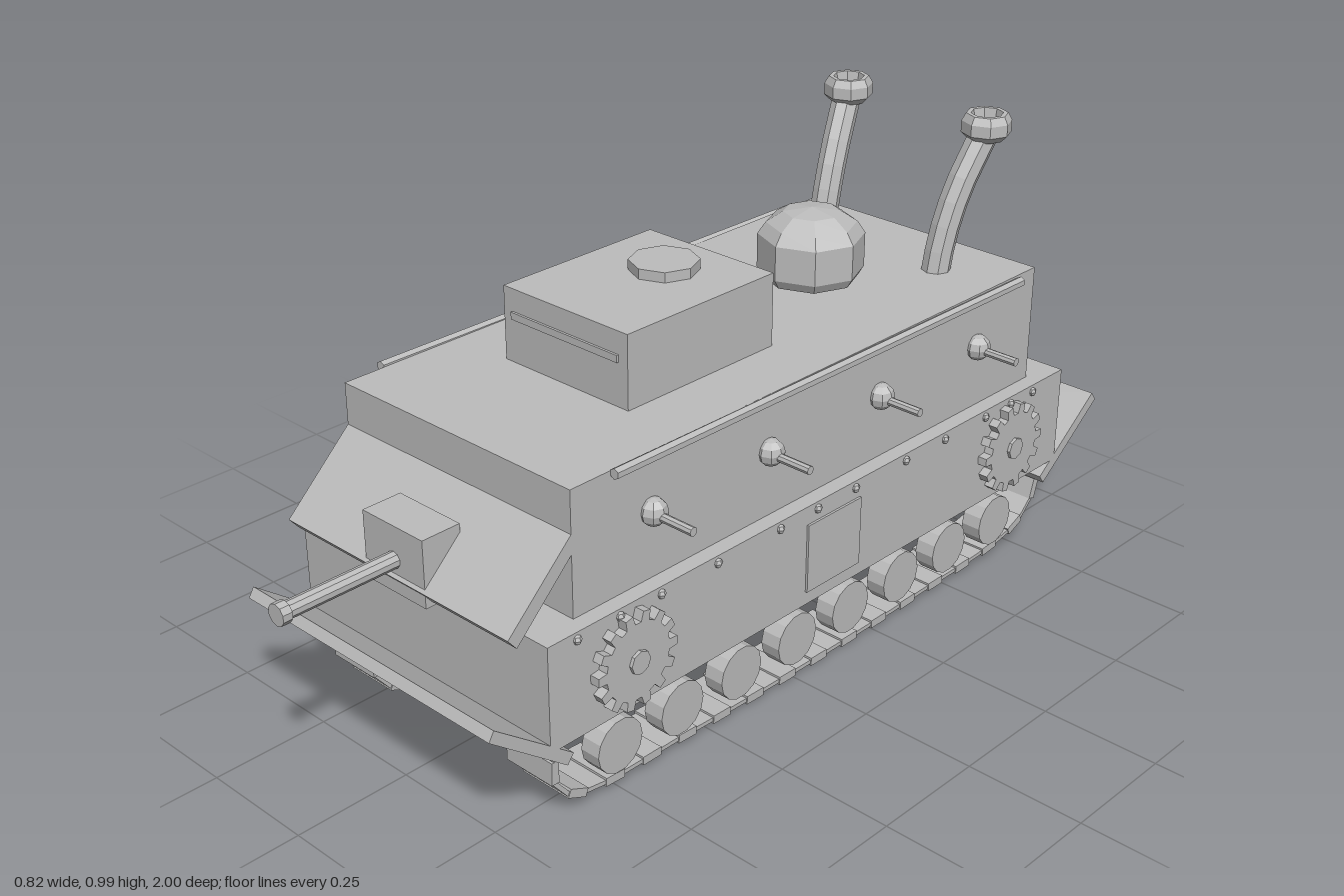
import * as THREE from 'three';

const steel = new THREE.MeshStandardMaterial({ color: 0xbcbcbc, flatShading: true });
steel.name = 'steel grey';

export function createModel() {
  const model = new THREE.Group();
  model.name = 'armouredVehicle';

  const add = (name, geometry, x = 0, y = 0, z = 0) => {
    const mesh = new THREE.Mesh(geometry, steel);
    mesh.name = name;
    mesh.position.set(x, y, z);
    model.add(mesh);
    return mesh;
  };
  // Box from its limits
  const block = (name, x0, x1, y0, y1, z0, z1) =>
    add(name, new THREE.BoxGeometry(x1 - x0, y1 - y0, z1 - z0),
      (x0 + x1) / 2, (y0 + y1) / 2, (z0 + z1) / 2);
  // Side outline of (z, y) points, extruded across x and centred
  const sideExtrude = (points, width) => {
    const shape = new THREE.Shape(points.map(([z, y]) => new THREE.Vector2(z, y)));
    return new THREE.ExtrudeGeometry(shape, { depth: width, bevelEnabled: false })
      .rotateY(-Math.PI / 2).translate(width / 2, 0, 0);
  };
  const rodX = (r, length, sides) => new THREE.CylinderGeometry(r, r, length, sides).rotateZ(Math.PI / 2);
  const rodZ = (r, length, sides) => new THREE.CylinderGeometry(r, r, length, sides).rotateX(Math.PI / 2);
  const lathe = (points, sides) =>
    new THREE.LatheGeometry(points.map(([r, y]) => new THREE.Vector2(r, y)), sides);

  // Hull, superstructure and turret
  block('lowerHull', -0.34, 0.34, 0.185, 0.405, -0.85, 0.69);
  block('upperHull', -0.305, 0.305, 0.4, 0.662, -0.765, 0.595);
  block('turret', -0.165, 0.165, 0.66, 0.815, -0.082, 0.314);
  block('visorSlit', -0.142, 0.142, 0.753, 0.768, 0.31, 0.319);
  add('hatch', new THREE.CylinderGeometry(0.07, 0.07, 0.022, 8), 0, 0.825, 0.048);

  // Sloping plates
  add('glacisPlate', sideExtrude([[0.595, 0.575], [0.595, 0.535], [0.728, 0.406], [0.748, 0.43]], 0.61));
  add('frontDeflector', sideExtrude([[0.83, 0.28], [0.818, 0.3], [0.635, 0.16], [0.65, 0.14]], 0.68));
  add('rearDeflector', sideExtrude([[-1, 0.28], [-0.815, 0.138], [-0.8, 0.158], [-0.985, 0.3]], 0.68));

  // Main gun
  block('gunMantlet', -0.082, 0.082, 0.396, 0.535, 0.655, 0.742);
  add('gunBarrel', rodZ(0.017, 0.25, 10), 0, 0.465, 0.862);
  add('gunMuzzle', rodZ(0.022, 0.02, 10), 0, 0.465, 0.99);

  // Roof dome
  add('roofDome', lathe([[0, 0.665], [0.1, 0.67], [0.112, 0.69], [0.112, 0.765],
    [0.095, 0.79], [0.06, 0.813], [0.012, 0.82], [0, 0.822]], 8), 0, 0, -0.39);

  // Toothed wheel outline
  const gearPoints = [];
  const teeth = 14;
  for (let i = 0; i < teeth; i++) {
    for (const [t, r] of [[-0.3, 0.08], [-0.2, 0.1], [0.2, 0.1], [0.3, 0.08]]) {
      const a = ((i + t) / teeth) * Math.PI * 2;
      gearPoints.push([Math.cos(a) * r, Math.sin(a) * r]);
    }
  }
  const gearGeometry = sideExtrude(gearPoints, 0.022);

  // Track loop in the side plane
  const trackCurve = new THREE.CatmullRomCurve3([
    [0.6, 0.038], [0.3, 0.018], [0, 0.01], [-0.4, 0.014], [-0.74, 0.036], [-0.808, 0.08],
    [-0.825, 0.13], [-0.78, 0.174], [-0.5, 0.18], [0.3, 0.18], [0.58, 0.176], [0.645, 0.145], [0.652, 0.09],
  ].map(([z, y]) => new THREE.Vector3(0, y, z)), true, 'centripetal');
  const linkCount = 64;
  const linkThick = new THREE.BoxGeometry(0.12, 0.018, 0.048);
  const linkThin = new THREE.BoxGeometry(0.116, 0.009, 0.058);

  const rivetZ = [0.62, 0.515, 0.41, 0.26, 0.085, -0.025, -0.14, -0.3, -0.43, -0.57, -0.66, -0.74];
  const rivetGeometry = new THREE.SphereGeometry(0.01, 6, 4);
  const wheelGeometry = rodX(0.057, 0.045, 14);

  for (const s of [-1, 1]) {
    // Tracks
    for (let i = 0; i < linkCount; i++) {
      const p = trackCurve.getPointAt(i / linkCount);
      const t = trackCurve.getTangentAt(i / linkCount);
      const link = add('trackLink', i % 2 ? linkThin : linkThick, s * 0.252, p.y, p.z);
      link.rotation.x = -Math.atan2(t.y, t.z);
    }
    // Road wheels
    for (let i = 0; i < 8; i++) add('roadWheel', wheelGeometry, s * 0.303, 0.1, 0.504 - i * 0.1656);

    // Toothed wheels with hubs
    for (const z of [0.49, -0.655]) {
      add('toothedWheel', gearGeometry, s * 0.35, 0.293, z);
      add('toothedWheelHub', rodX(0.024, 0.03, 8), s * 0.353, 0.293, z);
    }
    // Rivets and side panel
    for (const z of rivetZ) add('rivet', rivetGeometry, s * 0.34, 0.39, z);
    block('sidePanel', s * 0.342 - 0.003, s * 0.342 + 0.003, 0.215, 0.365, -0.155, 0.005);

    // Side guns on ball mounts
    for (const z of [0.4, 0.085, -0.245, -0.565]) {
      add('sideGunBall', new THREE.SphereGeometry(0.028, 8, 6), s * 0.312, 0.545, z);
      add('sideGunBarrel', rodX(0.009, 0.1, 8), s * 0.36, 0.541, z);
    }
    // Rear guns
    add('rearGun', rodZ(0.009, 0.09, 8), s * 0.175, 0.545, -0.8);

    // Roof edge rail
    const rail = add('roofRail', rodZ(0.011, 1.2, 6), s * 0.316, 0.656, -0.1);
    rail.rotation.x = -0.006;

    // Curved exhaust stack with hollow cap
    const stackPath = new THREE.CatmullRomCurve3([
      new THREE.Vector3(s * 0.158, 0.65, -0.612), new THREE.Vector3(s * 0.16, 0.73, -0.628),
      new THREE.Vector3(s * 0.168, 0.83, -0.662), new THREE.Vector3(s * 0.185, 0.945, -0.722),
    ]);
    add('exhaustStack', new THREE.TubeGeometry(stackPath, 6, 0.031, 8, false));
    add('exhaustCap', lathe([[0, 0.93], [0.038, 0.93], [0.053, 0.945], [0.053, 0.97],
      [0.044, 0.986], [0.034, 0.986], [0.028, 0.95], [0, 0.95]], 8), s * 0.185, 0, -0.725);
  }
  return model;
}
